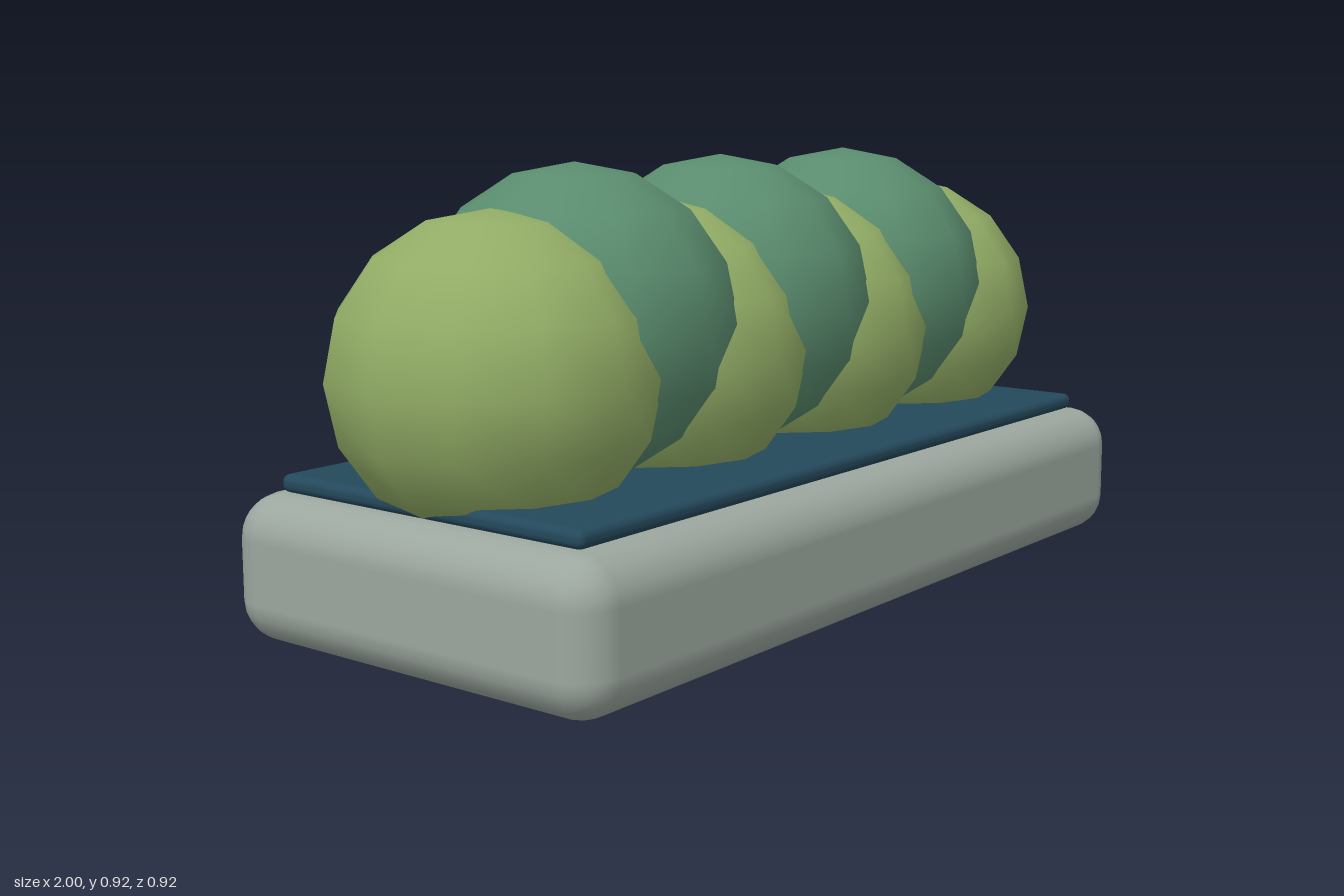
import * as THREE from 'three';
import { RoundedBoxGeometry } from 'three/addons/geometries/RoundedBoxGeometry.js';

const mat = (color) => new THREE.MeshStandardMaterial({ color });

export function createModel() {
  const group = new THREE.Group();

  const add = (name, geometry, material, x, y, z) => {
    const mesh = new THREE.Mesh(geometry, material);
    mesh.name = name;
    mesh.position.set(x, y, z);
    group.add(mesh);
    return mesh;
  };

  // Rounded base block
  add('base', new RoundedBoxGeometry(1.92, 0.293, 0.924, 3, 0.087), mat(0x9ca79f), 0, 0.1465, 0);

  // Thin mat lying on the base
  add('topMat', new RoundedBoxGeometry(1.766, 0.036, 0.766, 3, 0.016), mat(0x24495c), 0, 0.309, 0);

  // Row of overlapping balls, alternating low light and raised dark ones
  const ball = new THREE.SphereGeometry(1, 12, 8);
  ball.scale(0.31, 0.307, 0.323);
  const light = mat(0x92ad66);
  const dark = mat(0x5a8c6e);
  for (let i = 0; i < 7; i++) {
    const raised = i % 2 === 1;
    add(raised ? 'raisedSegment' : 'lowSegment', ball, raised ? dark : light,
      (i - 3) * 0.23, raised ? 0.609 : 0.532, 0);
  }

  return group;
}
